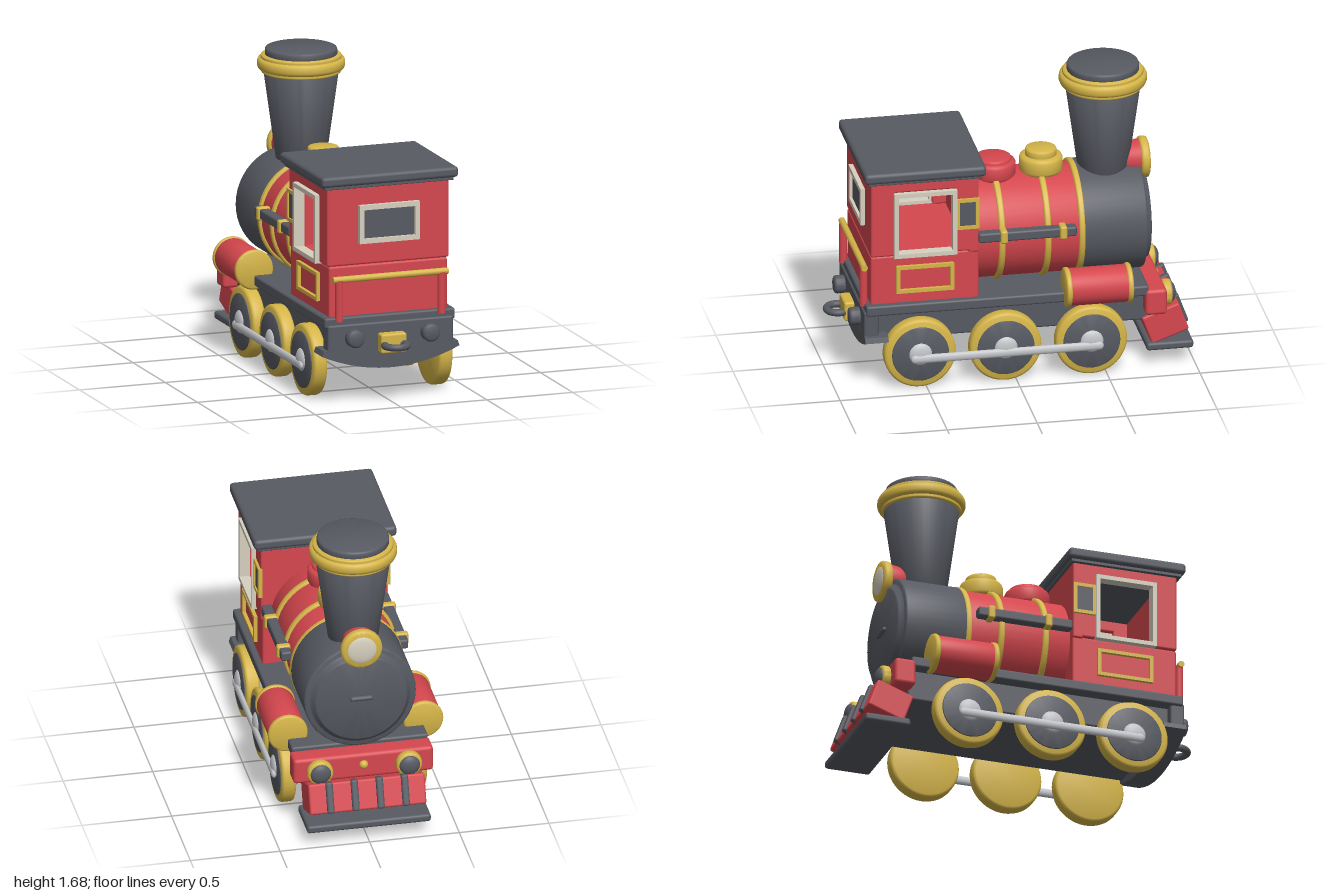
import * as THREE from 'three';
import { toCreasedNormals } from 'three/addons/utils/BufferGeometryUtils.js';
import { RoundedBoxGeometry } from 'three/addons/geometries/RoundedBoxGeometry.js';

const paint = (name, color) => Object.assign(new THREE.MeshStandardMaterial({ color }), { name });

export function createModel() {
  const model = new THREE.Group();
  model.name = 'steamLocomotive';
  const red = paint('red', 0xd5474e), dark = paint('darkGrey', 0x575a62), gold = paint('gold', 0xd5b548);
  const silver = paint('silver', 0xc3c5c9), cream = paint('cream', 0xd6d0bf);

  const add = (name, geo, mat, x = 0, y = 0, z = 0) => {
    const mesh = new THREE.Mesh(geo, mat);
    mesh.name = name;
    mesh.position.set(x, y, z);
    model.add(mesh);
    return mesh;
  };
  // Box given by its limits on each axis
  const box = (name, mat, [x0, x1], [y0, y1], [z0, z1], r = 0.012) => {
    const s = [x1 - x0, y1 - y0, z1 - z0];
    return add(name, new RoundedBoxGeometry(...s, 2, Math.min(r, Math.min(...s) * 0.45)), mat,
      (x0 + x1) / 2, (y0 + y1) / 2, (z0 + z1) / 2);
  };
  // Turned part with bevelled rims, along the given axis
  const turned = (name, mat, axis, r0, r1, h, x, y, z, b = 0.01) => {
    const pts = [[0, -h / 2], [r0 - b, -h / 2], [r0 - b * 0.3, -h / 2 + b * 0.3], [r0, -h / 2 + b],
      [r1, h / 2 - b], [r1 - b * 0.3, h / 2 - b * 0.3], [r1 - b, h / 2], [0, h / 2]];
    const geo = new THREE.LatheGeometry(pts.map((p) => new THREE.Vector2(...p)), 48);
    const mesh = add(name, toCreasedNormals(geo, 0.85), mat, x, y, z);
    if (axis === 'z') mesh.rotation.x = Math.PI / 2;
    if (axis === 'x') mesh.rotation.z = -Math.PI / 2;
    return mesh;
  };
  // Flat rectangular frame facing z, w by h with border t
  const frameGeo = (w, h, t, d) => {
    const rect = (P, a, b) => new P().moveTo(-a, -b).lineTo(a, -b).lineTo(a, b).lineTo(-a, b).closePath();
    const shape = rect(THREE.Shape, w / 2, h / 2);
    shape.holes.push(rect(THREE.Path, w / 2 - t, h / 2 - t));
    return new THREE.ExtrudeGeometry(shape, { depth: d, bevelEnabled: false }).translate(0, 0, -d / 2);
  };
  const sideFrame = (name, mat, x, [y0, y1], [z0, z1], t, d) => {
    add(name, frameGeo(z1 - z0, y1 - y0, t, d), mat, x, (y0 + y1) / 2, (z0 + z1) / 2).rotation.y = Math.PI / 2;
  };

  // Chassis
  box('chassis', dark, [-0.31, 0.31], [0.26, 0.44], [-0.74, 0.83]);
  box('runningBoard', dark, [-0.38, 0.38], [0.43, 0.49], [-0.74, 0.83]);
  box('rearBeam', dark, [-0.365, 0.365], [0.3, 0.45], [0.76, 0.84]);
  const skirt = new THREE.Shape().moveTo(0.4, 0.28).lineTo(0.39, 0.31).lineTo(-0.39, 0.31).lineTo(-0.4, 0.28);
  skirt.quadraticCurveTo(0, 0.1, 0.4, 0.28);
  add('rearSkirt', toCreasedNormals(new THREE.ExtrudeGeometry(skirt,
    { depth: 0.13, bevelEnabled: false, curveSegments: 24 }), 0.5), dark, 0, 0, 0.71);

  // Rear coupling
  box('couplingBlock', gold, [-0.075, 0.075], [0.28, 0.39], [0.83, 0.895]);
  add('couplingRing', new THREE.TorusGeometry(0.062, 0.02, 12, 32), dark, 0, 0.33, 0.918).rotation.x = Math.PI / 2;

  // Boiler, smokebox and bands
  turned('boiler', red, 'z', 0.3, 0.3, 0.6, 0, 0.78, -0.09);
  turned('smokebox', dark, 'z', 0.312, 0.312, 0.37, 0, 0.78, -0.565);
  turned('smokeboxDoor', dark, 'z', 0.26, 0.28, 0.04, 0, 0.78, -0.76);
  const handle = add('doorHandle', new THREE.CapsuleGeometry(0.014, 0.1, 6, 12), dark, 0, 0.785, -0.787);
  handle.rotation.z = Math.PI / 2;
  for (const z of [0.06, -0.195, -0.385]) turned('boilerBand', gold, 'z', 0.316, 0.316, 0.035, 0, 0.78, z);

  // Chimney
  turned('chimney', dark, 'y', 0.138, 0.206, 0.5, 0, 1.3, -0.555, 0.005);
  turned('chimneyLowerRim', gold, 'y', 0.22, 0.22, 0.03, 0, 1.555, -0.555);
  turned('chimneyCollar', gold, 'y', 0.241, 0.241, 0.065, 0, 1.592, -0.555, 0.02);
  turned('chimneyUpperRim', gold, 'y', 0.222, 0.222, 0.03, 0, 1.627, -0.555);
  turned('chimneyCap', dark, 'y', 0.198, 0.198, 0.05, 0, 1.655, -0.555, 0.012);

  // Domes
  turned('redDome', red, 'y', 0.124, 0.124, 0.1, 0, 1.1, 0.055, 0.02);
  turned('redDomeCap', red, 'y', 0.1, 0.1, 0.05, 0, 1.145, 0.055, 0.012);
  turned('goldDome', gold, 'y', 0.12, 0.12, 0.1, 0, 1.11, -0.21, 0.02);
  turned('goldDomeCap', gold, 'y', 0.086, 0.086, 0.06, 0, 1.17, -0.21, 0.012);

  // Headlamp
  turned('headlampHousing', red, 'z', 0.1, 0.085, 0.13, 0, 1.1, -0.72, 0.02);
  turned('headlampRing', gold, 'z', 0.115, 0.115, 0.05, 0, 1.095, -0.778, 0.014);
  add('headlampLens', new THREE.SphereGeometry(0.085, 32, 20), cream, 0, 1.095, -0.797).scale.z = 0.2;

  // Cab body
  box('cabBase', red, [-0.345, 0.345], [0.48, 0.77], [0.2, 0.8]);
  box('cabRearWall', red, [-0.355, 0.355], [0.77, 1.22], [0.74, 0.8]);
  box('cabFrontWall', red, [-0.355, 0.355], [0.76, 1.22], [0.2, 0.26]);
  box('roof', dark, [-0.398, 0.398], [1.222, 1.282], [0.165, 0.84], 0.02);
  box('roofUnderside', dark, [-0.375, 0.375], [1.205, 1.225], [0.185, 0.82], 0.004);
  add('rearWindowFrame', frameGeo(0.35, 0.215, 0.027, 0.03), cream, 0, 0.998, 0.81);
  box('rearWindowGlass', dark, [-0.155, 0.155], [0.91, 1.085], [0.801, 0.809], 0.002);

  // Rear railing
  const rail = add('rearRail', new THREE.CylinderGeometry(0.018, 0.018, 0.67, 16), gold, 0, 0.703, 0.832);
  rail.rotation.z = Math.PI / 2;

  // Front beam and pilot
  box('frontBeam', red, [-0.39, 0.39], [0.315, 0.465], [-0.84, -0.72], 0.02);
  add('beamStud', new THREE.SphereGeometry(0.025, 16, 12), gold, 0, 0.4, -0.84);
  const pilot = new THREE.Group();
  pilot.name = 'pilot';
  pilot.position.set(0, 0.232, -0.842);
  pilot.rotation.x = 0.35;
  model.add(pilot);
  pilot.add(box('pilotBody', red, [-0.325, 0.325], [-0.085, 0.085], [-0.11, 0.11]));
  for (const x of [-0.21, -0.07, 0.07, 0.21])
    pilot.add(box('pilotSlat', dark, [x - 0.02, x + 0.02], [-0.085, 0.09], [-0.127, -0.07]));
  box('pilotFoot', dark, [-0.345, 0.345], [0.085, 0.13], [-0.995, -0.735], 0.015);

  // Paired parts
  for (const s of [-1, 1]) {
    const span = (a, b) => (s > 0 ? [a, b] : [-b, -a]);
    // Wheels and coupling rod
    for (const z of [0.535, 0.06, -0.417]) {
      turned('wheelTyre', gold, 'x', 0.199, 0.199, 0.08, s * 0.365, 0.2, z, 0.016);
      turned('wheelDisc', dark, 'x', 0.158, 0.158, 0.012, s * 0.404, 0.2, z, 0.003);
      add('wheelHub', new THREE.SphereGeometry(0.065, 24, 16), silver, s * 0.405, 0.2, z).scale.x = 0.4;
    }
    const rod = add('couplingRod', new THREE.CapsuleGeometry(0.025, 1.02, 8, 16), silver, s * 0.422, 0.177, 0.055);
    rod.rotation.x = Math.PI / 2;
    rod.scale.x = 0.6;

    // Steam cylinders
    turned('steamCylinder', red, 'z', 0.104, 0.104, 0.35, s * 0.378, 0.52, -0.45);
    for (const z of [-0.283, -0.623]) turned('cylinderCap', gold, 'z', 0.111, 0.111, 0.032, s * 0.378, 0.52, z, 0.012);

    // Handrail along the boiler
    box('handrail', dark, span(0.295, 0.355), [0.807, 0.863], [-0.345, 0.2]);
    for (const z of [0.06, -0.27]) box('handrailBracket', gold, span(0.29, 0.367), [0.797, 0.873], [z - 0.02, z + 0.02]);

    // Cab side pillars, window frames and panel trim
    box('rearPillar', red, span(0.3, 0.355), [0.77, 1.22], [0.66, 0.8]);
    box('frontPillar', red, span(0.3, 0.355), [0.77, 1.22], [0.2, 0.335]);
    box('windowLintel', red, span(0.3, 0.355), [1.145, 1.22], [0.3, 0.7]);
    sideFrame('sideWindowFrame', cream, s * 0.35, [0.765, 1.147], [0.325, 0.675], 0.024, 0.06);
    sideFrame('smallWindowFrame', gold, s * 0.357, [0.905, 1.085], [0.2, 0.33], 0.02, 0.024);
    box('smallWindowGlass', dark, span(0.354, 0.362), [0.92, 1.07], [0.215, 0.315], 0.002);
    sideFrame('panelTrim', gold, s * 0.35, [0.55, 0.71], [0.34, 0.66], 0.02, 0.03);

    // Railing posts and buffers
    add('railPost', new THREE.CylinderGeometry(0.022, 0.022, 0.23, 16), red, s * 0.298, 0.585, 0.832);
    turned('rearBuffer', dark, 'z', 0.05, 0.05, 0.07, s * 0.22, 0.375, 0.865, 0.015);
    turned('frontLampRing', gold, 'z', 0.072, 0.072, 0.05, s * 0.248, 0.39, -0.86, 0.012);
    add('frontLamp', new THREE.SphereGeometry(0.058, 24, 16), dark, s * 0.248, 0.39, -0.882).scale.z = 0.5;
  }
  return model;
}
